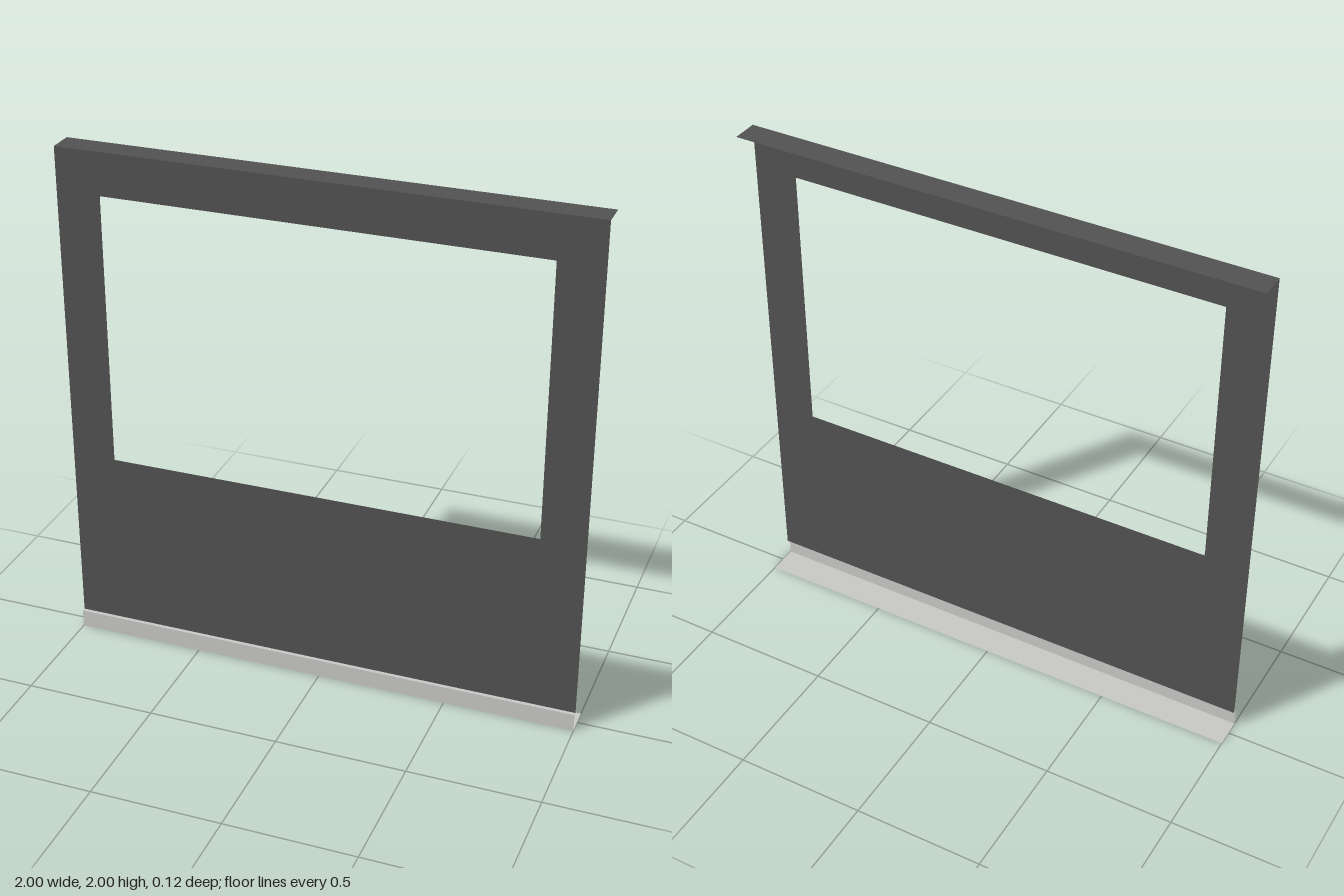
import * as THREE from 'three';

export function createModel() {
  const group = new THREE.Group();
  const dark = new THREE.MeshStandardMaterial({ name: 'darkGrey', color: 0x525252, side: THREE.DoubleSide });
  const light = new THREE.MeshStandardMaterial({ name: 'lightGrey', color: 0xc8c8c6, side: THREE.DoubleSide });
  const wallZ = 0.04, frontZ = 0.055, backZ = -0.06, wallBottom = 0.07;

  function add(name, geometry, material) {
    const mesh = new THREE.Mesh(geometry, material);
    mesh.name = name;
    group.add(mesh);
    return mesh;
  }

  // Horizontal sheet facing up, spanning the full width between two depths
  function sheet(name, y, z0, z1, material) {
    const geometry = new THREE.PlaneGeometry(2, z1 - z0).rotateX(-Math.PI / 2);
    add(name, geometry, material).position.set(0, y, (z0 + z1) / 2);
  }

  // Front panel with its rectangular opening
  const panel = new THREE.Shape([[-1, wallBottom], [1, wallBottom], [1, 2], [-1, 2]]
    .map(([x, y]) => new THREE.Vector2(x, y)));
  panel.holes.push(new THREE.Path([[-0.83, 0.775], [-0.83, 1.835], [0.83, 1.835], [0.83, 0.775]]
    .map(([x, y]) => new THREE.Vector2(x, y))));
  add('frontPanel', new THREE.ShapeGeometry(panel), dark).position.z = wallZ;

  // Top flange folded back from the panel
  sheet('topFlange', 2, backZ, wallZ, dark);

  // Skirting: narrow ledge, front face and floor flange
  sheet('skirtingLedge', wallBottom, wallZ, frontZ, light);
  add('skirtingFace', new THREE.PlaneGeometry(2, wallBottom), light).position.set(0, wallBottom / 2, frontZ);
  sheet('floorFlange', 0, backZ, frontZ, light);

  return group;
}
